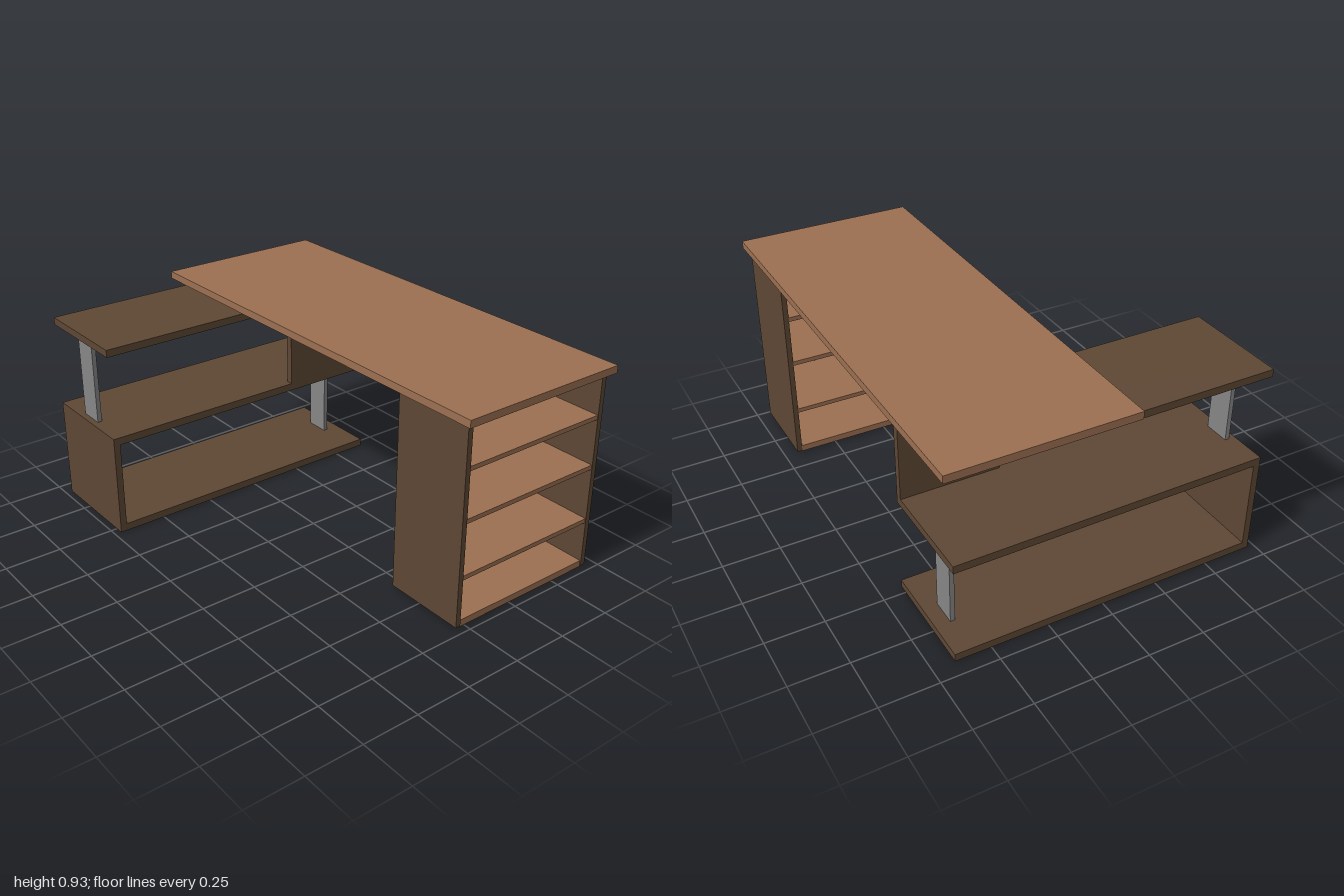
import * as THREE from 'three';

const lightWood = new THREE.MeshStandardMaterial({ color: 0x9c7051 });
const darkWood = new THREE.MeshStandardMaterial({ color: 0x5e4734 });
const metal = new THREE.MeshStandardMaterial({ color: 0x868686 });

// Board given by its extents along x, y and z
function board(parent, name, material, [x0, x1], [y0, y1], [z0, z1]) {
  const mesh = new THREE.Mesh(new THREE.BoxGeometry(x1 - x0, y1 - y0, z1 - z0), material);
  mesh.position.set((x0 + x1) / 2, (y0 + y1) / 2, (z0 + z1) / 2);
  mesh.name = name;
  parent.add(mesh);
}

function createShelfUnit() {
  const unit = new THREE.Group();
  unit.name = 'sideShelfUnit';
  const width = [-0.93, -0.46], length = [-0.655, 0.72], postWidth = [-0.765, -0.65];

  // Long horizontal boards
  board(unit, 'baseBoard', darkWood, width, [0, 0.034], length);
  board(unit, 'middleBoard', darkWood, width, [0.427, 0.461], length);
  board(unit, 'upperBoard', darkWood, width, [0.84, 0.873], length);

  // Upright panels
  board(unit, 'frontPanel', darkWood, width, [0.034, 0.427], [0.69, 0.72]);
  board(unit, 'innerPanel', darkWood, [-0.492, -0.46], [0.461, 0.84], [-0.655, -0.225]);

  // Flat metal posts
  board(unit, 'frontPost', metal, postWidth, [0.461, 0.84], [0.672, 0.692]);
  board(unit, 'rearPost', metal, postWidth, [0.034, 0.408], [-0.59, -0.57]);

  // Swivel disc carrying the desktop
  const disc = new THREE.Mesh(new THREE.CylinderGeometry(0.132, 0.132, 0.022, 48), metal);
  disc.name = 'swivelDisc';
  disc.position.set(-0.71, 0.884, -0.423);
  unit.add(disc);
  return unit;
}

function createBookcase() {
  const bookcase = new THREE.Group();
  bookcase.name = 'bookcase';

  // Side panels, open between them from both ends
  for (const [name, z] of [['frontSide', 0.041], ['rearSide', -0.681]]) {
    board(bookcase, name, darkWood, [0.6, 0.973], [0.012, 0.895], [z - 0.0115, z + 0.0115]);
  }

  // Bottom and shelves
  board(bookcase, 'bottomShelf', lightWood, [0.605, 0.968], [0.005, 0.035], [-0.67, 0.03]);
  for (const y of [0.231, 0.482, 0.706]) {
    board(bookcase, 'shelf', lightWood, [0.603, 0.97], [y - 0.01, y + 0.01], [-0.67, 0.03]);
  }
  return bookcase;
}

export function createModel() {
  const desk = new THREE.Group();
  desk.name = 'desk';
  board(desk, 'desktop', lightWood, [-1, 1], [0.895, 0.928], [-0.72, 0.073]);
  desk.add(createShelfUnit(), createBookcase());
  return desk;
}
